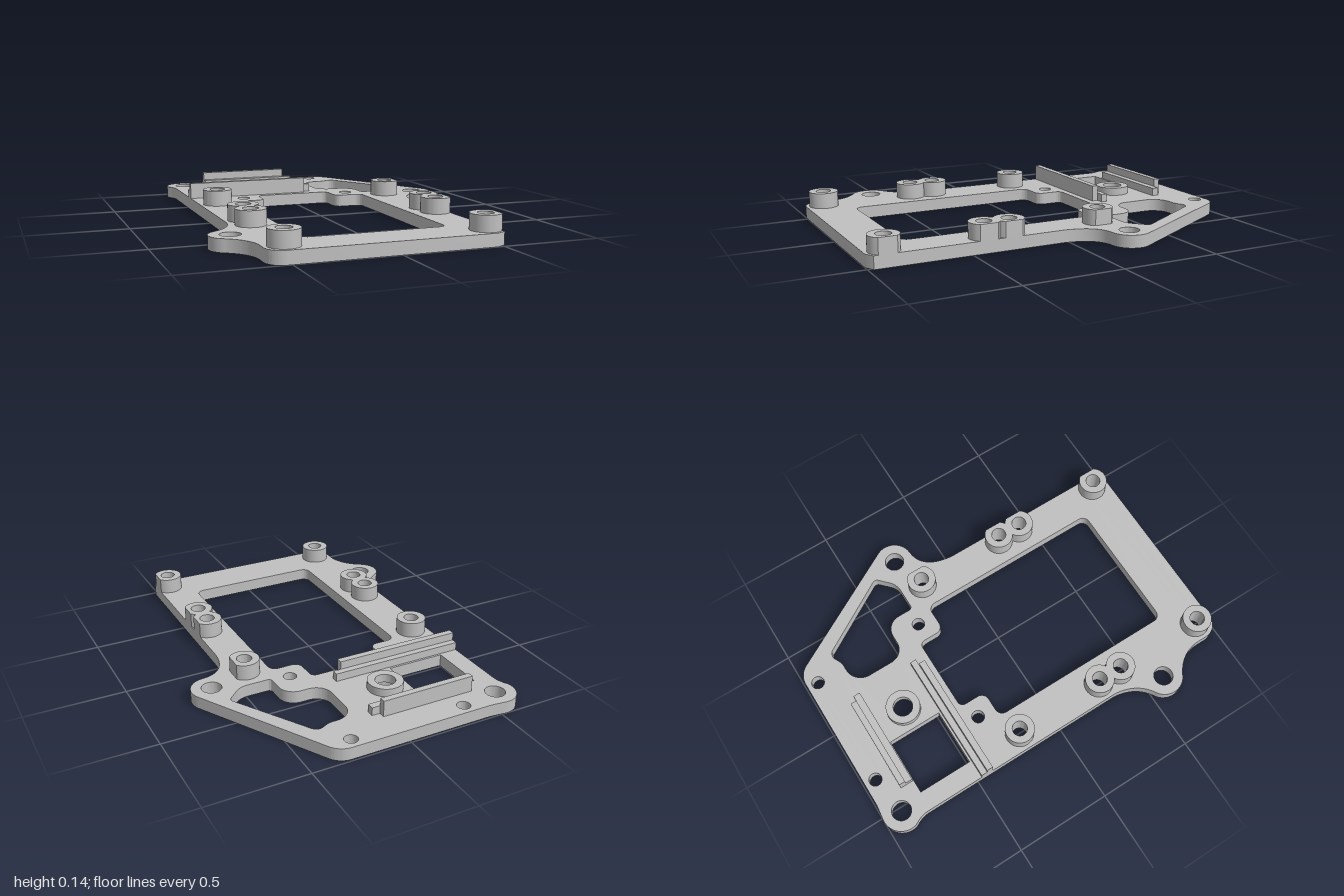
import * as THREE from 'three';
import { toCreasedNormals } from 'three/addons/utils/BufferGeometryUtils.js';

const PLATE = 0.063;

// Closed path with a fillet at each corner; corners are [x, z, radius]
function roundedPath(corners) {
  const path = new THREE.Path();
  const n = corners.length;
  corners.forEach(([x, z, r], i) => {
    const c = new THREE.Vector2(x, z);
    const [px, pz] = corners[(i + n - 1) % n];
    const [nx, nz] = corners[(i + 1) % n];
    const toPrev = new THREE.Vector2(px, pz).sub(c).normalize();
    const toNext = new THREE.Vector2(nx, nz).sub(c).normalize();
    const turn = Math.PI - Math.acos(toPrev.dot(toNext));
    const t = r * Math.tan(turn / 2);
    const k = t - (4 / 3) * Math.tan(turn / 4) * r;
    const at = (dir, d) => c.clone().addScaledVector(dir, d);
    const [a, b, d, e] = [at(toPrev, t), at(toPrev, k), at(toNext, k), at(toNext, t)];
    if (i === 0) path.moveTo(a.x, a.y);
    else path.lineTo(a.x, a.y);
    if (r > 0) path.bezierCurveTo(b.x, b.y, d.x, d.y, e.x, e.y);
  });
  path.closePath();
  return path;
}

function circle(x, z, r) {
  return new THREE.Path().absarc(x, z, r, 0, Math.PI * 2, false);
}

// Raise a plan drawn in (x, z) from y = bottom to y = top
function extrudeUp(shape, bottom, top) {
  const geo = new THREE.ExtrudeGeometry(shape, { depth: top - bottom, bevelEnabled: false, curveSegments: 20 });
  geo.rotateX(Math.PI / 2).translate(0, top, 0);
  return toCreasedNormals(geo, 0.6);
}

export function createModel() {
  const group = new THREE.Group();
  const grey = new THREE.MeshStandardMaterial({ color: 0xc0c0c0 });
  grey.name = 'grey';
  const add = (name, geo) => {
    const mesh = new THREE.Mesh(geo, grey);
    mesh.name = name;
    group.add(mesh);
  };

  // Plate outline with three mounting ears
  const plate = new THREE.Shape();
  plate.moveTo(0.515, 0.975);
  plate.lineTo(0.515, 0.03);
  plate.quadraticCurveTo(0.53, -0.15, 0.662, -0.155);
  plate.absarc(0.655, -0.255, 0.1, 1.5, -0.513, true);
  plate.absarc(0.3, -0.89, 0.1, -0.513, -Math.PI / 2, true);
  plate.lineTo(-0.44, -0.99);
  plate.absarc(-0.53, -0.9, 0.1, -1.4, -3.43, true);
  plate.quadraticCurveTo(-0.6, -0.83, -0.6, -0.79);
  plate.lineTo(-0.6, 0.33);
  plate.quadraticCurveTo(-0.61, 0.45, -0.7, 0.51);
  plate.absarc(-0.656, 0.6, 0.1, -2.03, -4.25, true);
  plate.quadraticCurveTo(-0.61, 0.75, -0.6, 0.85);
  plate.lineTo(-0.6, 0.92);
  plate.absarc(-0.52, 0.92, 0.08, Math.PI, Math.PI / 2, true);
  plate.lineTo(0.47, 1);
  plate.closePath();

  // Main opening, square window and side opening, all wound the same way
  plate.holes.push(
    roundedPath([
      [-0.381, -0.233, 0.04], [-0.233, -0.233, 0.04], [-0.233, -0.376, 0.03], [0.177, -0.376, 0.03],
      [0.177, -0.233, 0.04], [0.33, -0.233, 0.04], [0.33, 0.777, 0.04], [-0.381, 0.777, 0.04],
    ]),
    roundedPath([[-0.5, -0.773, 0], [-0.2, -0.773, 0], [-0.2, -0.488, 0], [-0.5, -0.488, 0]]),
    roundedPath([
      [0.165, -0.775, 0.09], [0.3, -0.775, 0.1], [0.37, -0.812, 0.04], [0.62, -0.395, 0.025],
      [0.53, -0.31, 0.1], [0.367, -0.31, 0.02], [0.367, -0.475, 0.08], [0.165, -0.475, 0.08],
    ]),
  );

  // Ear holes and small screw holes
  for (const [x, z] of [[-0.528, -0.9], [0.653, -0.253], [-0.655, 0.6]]) plate.holes.push(circle(x, z, 0.05));
  for (const x of [-0.325, 0.273]) {
    for (const z of [-0.932, -0.328]) plate.holes.push(circle(x, z, 0.033));
  }

  // Standoffs along both sides; the +x row is cut flush with the plate edge
  const r = 0.075;
  for (const z of [-0.194, 0.292, 0.421, 0.908]) {
    for (const x of [-0.507, 0.455]) {
      const cut = x > 0 ? Math.acos((0.515 - x) / r) : 0;
      const ring = new THREE.Shape();
      ring.absarc(x, z, r, cut, Math.PI * 2 - cut, false);
      ring.holes.push(circle(x, z, 0.038));
      plate.holes.push(circle(x, z, 0.038));
      add(x > 0 ? 'leftStandoff' : 'rightStandoff', extrudeUp(ring, PLATE - 0.003, 0.142));
    }
  }

  // Wide low boss between the rails, counterbored from below
  const boss = new THREE.Shape().absarc(-0.085, -0.628, 0.088, 0, Math.PI * 2, false);
  boss.holes.push(circle(-0.085, -0.628, 0.05));
  plate.holes.push(circle(-0.085, -0.628, 0.078));
  add('centreBoss', extrudeUp(boss, PLATE - 0.003, 0.104));

  add('plate', extrudeUp(plate, 0, PLATE));

  // Stepped rails: a tall wall beside a low ledge
  const rail = (name, x0, x1, z0, z1, top) => {
    const h = top - PLATE + 0.003;
    const geo = new THREE.BoxGeometry(x1 - x0, h, z1 - z0);
    add(name, geo.translate((x0 + x1) / 2, top - h / 2, (z0 + z1) / 2));
  };
  rail('backRailWall', -0.43, 0.056, -0.846, -0.814, 0.145);
  rail('backRailLedge', -0.43, 0.097, -0.814, -0.778, 0.104);
  rail('frontRailLedge', -0.6, 0.097, -0.477, -0.445, 0.104);
  rail('frontRailWall', -0.6, 0.056, -0.445, -0.412, 0.145);

  return group;
}
